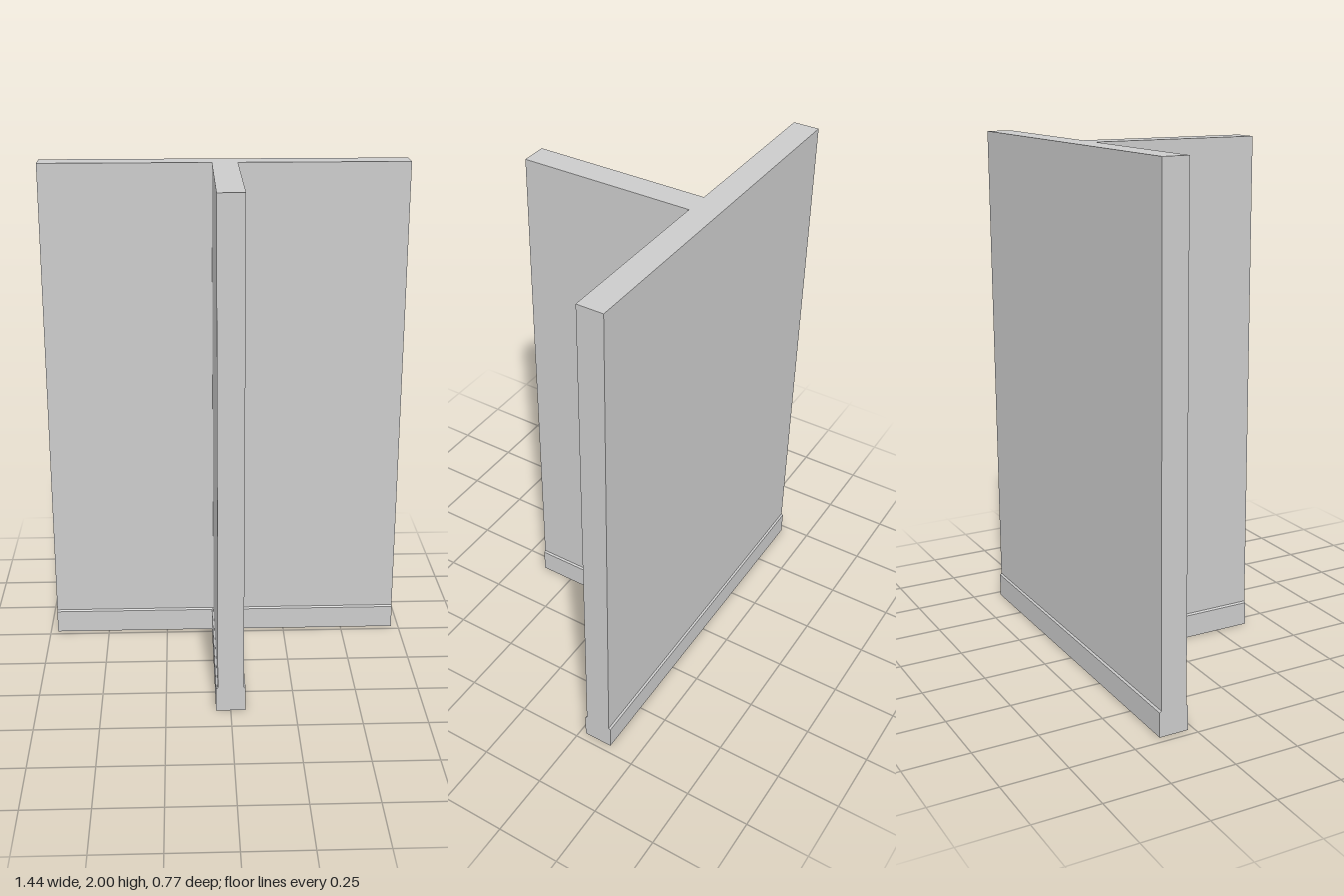
import * as THREE from 'three';

const W = 0.72;      // half length of the cross wall
const T = 0.05;      // half thickness of the stem wall
const BACK = -0.38;  // rear face of the cross wall
const INNER = -0.28; // front face of the cross wall
const FRONT = 0.387; // free end of the stem wall

export function createModel() {
  const model = new THREE.Group();
  const material = new THREE.MeshStandardMaterial({ color: 0xcccccc, flatShading: true });

  // T-shaped wall, drawn in plan (shape y = -z) and raised to full height
  const plan = new THREE.Shape([
    [-W, -BACK], [-W, -INNER], [-T, -INNER], [-T, -FRONT],
    [T, -FRONT], [T, -INNER], [W, -INNER], [W, -BACK],
  ].map(([x, y]) => new THREE.Vector2(x, y)));
  const wallGeometry = new THREE.ExtrudeGeometry(plan, { depth: 2, bevelEnabled: false });
  wallGeometry.rotateX(-Math.PI / 2);
  const wall = new THREE.Mesh(wallGeometry, material);
  wall.name = 'wall';
  model.add(wall);

  // Skirting board: thin profile with a chamfered top, run along a wall face
  const profile = new THREE.Shape([
    [0, 0], [0.007, 0], [0.007, 0.094], [0, 0.1],
  ].map(([x, y]) => new THREE.Vector2(x, y)));
  const addSkirting = (name, x, z, length, turn) => {
    const geometry = new THREE.ExtrudeGeometry(profile, { depth: length, bevelEnabled: false });
    const strip = new THREE.Mesh(geometry, material);
    strip.name = name;
    strip.position.set(x, 0, z);
    strip.rotation.y = turn;
    model.add(strip);
  };
  addSkirting('backSkirting', -W, BACK, 2 * W, Math.PI / 2);
  addSkirting('frontLeftSkirting', W, INNER, W - T, -Math.PI / 2);
  addSkirting('frontRightSkirting', -T, INNER, W - T, -Math.PI / 2);
  addSkirting('stemLeftSkirting', T, INNER, FRONT - INNER, 0);
  addSkirting('stemRightSkirting', -T, FRONT, FRONT - INNER, Math.PI);

  return model;
}
